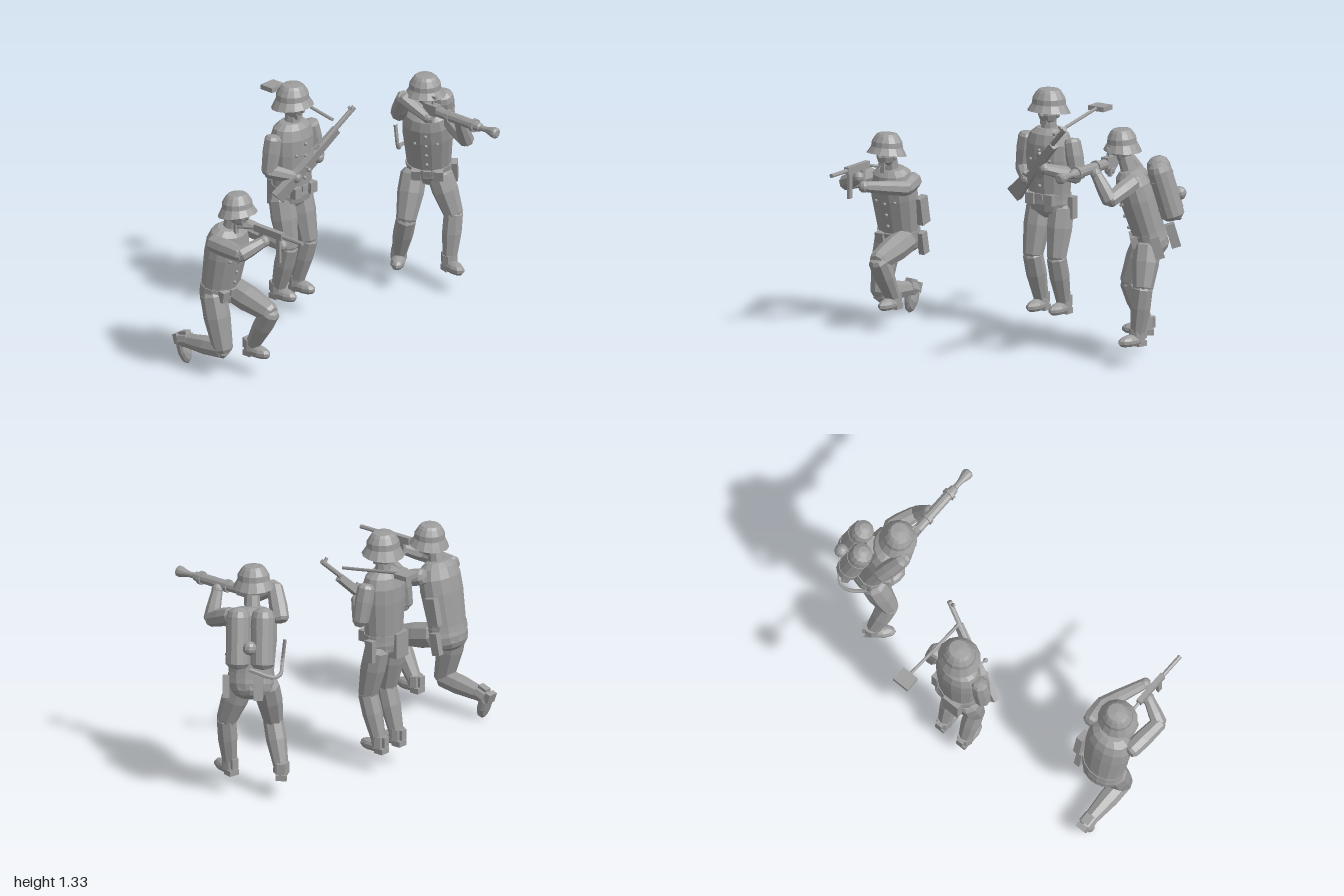
import * as THREE from 'three';

const grey = new THREE.MeshStandardMaterial({ color: 0x9c9c9c, flatShading: true });
grey.name = 'plain grey';
const V = (p) => new THREE.Vector3(...p);

function add(parent, name, geo, pos = [0, 0, 0], scale = [1, 1, 1]) {
  const m = new THREE.Mesh(geo, grey);
  m.name = name;
  m.position.set(...pos);
  m.scale.set(...scale);
  parent.add(m);
  return m;
}
const box = (p, n, size, pos) => add(p, n, new THREE.BoxGeometry(...size), pos);
const ball = (p, n, pos, scale) => add(p, n, new THREE.SphereGeometry(1, 10, 7), pos, scale);
const lathe = (pts, sides) => new THREE.LatheGeometry(pts.map((q) => new THREE.Vector2(...q)), sides);

// Turn a Y-axis mesh so that it runs from a to b
function along(mesh, a, b) {
  mesh.position.copy(V(a));
  mesh.quaternion.setFromUnitVectors(new THREE.Vector3(0, 1, 0), V(b).sub(V(a)).normalize());
  return mesh;
}
// Tapered limb piece with a swollen middle and domed ends
function segment(p, name, a, b, ra, rm, rb, sides = 8) {
  const L = V(a).distanceTo(V(b));
  return along(add(p, name, lathe([[0, -ra * 0.5], [ra * 0.75, -ra * 0.35], [ra, 0], [rm, L * 0.4],
    [rb, L], [rb * 0.75, L + rb * 0.35], [0, L + rb * 0.5]], sides)), a, b);
}
function rod(p, name, a, b, r, sides = 8) {
  const L = V(a).distanceTo(V(b));
  return along(add(p, name, lathe([[0, 0], [r, 0], [r, L], [0, L]], sides)), a, b);
}
// Frame whose +x is forward, +y up the body and +z the figure's right
function frame(p, name, origin, forward, up) {
  const g = new THREE.Group();
  g.name = name;
  const u = V(up).normalize(), r = V(forward).cross(u).normalize();
  g.quaternion.setFromRotationMatrix(new THREE.Matrix4().makeBasis(u.clone().cross(r), u, r));
  g.position.set(...origin);
  p.add(g);
  return g;
}

function head(p, pos, fwd, up, s) {
  const g = frame(p, 'head', pos, fwd, up);
  g.scale.setScalar(s);
  ball(g, 'face', [0.005, 0.005, 0], [0.066, 0.074, 0.054]);
  ball(g, 'nose', [0.073, -0.005, 0], [0.014, 0.016, 0.011]);
  box(g, 'chin', [0.035, 0.024, 0.04], [0.036, -0.05, 0]);
  for (const z of [-0.054, 0.054]) ball(g, 'ear', [-0.005, -0.008, z], [0.016, 0.022, 0.01]);
  // Steel helmet: the rim is lower over the neck and sides than over the brow
  const geo = lathe([[0.088, 0.014], [0.119, 0], [0.104, 0.026], [0.093, 0.045], [0.09, 0.076],
    [0.07, 0.108], [0.056, 0.122], [0, 0.128]], 14);
  const q = geo.attributes.position;
  for (let i = 0; i < q.count; i++) {
    const w = Math.max(0, 1 - q.getY(i) / 0.06);
    q.setY(i, q.getY(i) + w * q.getX(i) * 0.1);
    q.setX(i, q.getX(i) * 0.93);
  }
  add(g, 'helmet', geo);
  add(g, 'helmetLining', new THREE.CylinderGeometry(0.086, 0.086, 0.01, 14), [0, 0.02, 0]);
}

// Tunic, belt and kit; the origin sits at the belt
function torso(p, origin, fwd, up) {
  const g = frame(p, 'torso', origin, fwd, up);
  add(g, 'tunic', lathe([[0, -0.08], [0.112, -0.08], [0.122, -0.04], [0.118, 0], [0.126, 0.1], [0.134, 0.2],
    [0.132, 0.28], [0.112, 0.335], [0.075, 0.362], [0, 0.372]], 14), [0, 0, 0], [0.75, 1, 1]);
  ball(g, 'trouserSeat', [-0.005, -0.06, 0], [0.085, 0.07, 0.115]);
  add(g, 'belt', new THREE.CylinderGeometry(0.124, 0.124, 0.03, 14), [0, 0, 0], [0.76, 1, 1]);
  add(g, 'neck', new THREE.CylinderGeometry(0.036, 0.044, 0.1, 8), [0.005, 0.395, 0]);
  box(g, 'buckle', [0.012, 0.034, 0.04], [0.094, 0, 0]);
  for (let i = 0; i < 4; i++) ball(g, 'button', [0.094 + 0.002 * i, 0.06 + 0.065 * i, 0], [0.01, 0.01, 0.01]);
  for (const z of [-0.06, 0.06]) {
    box(g, 'beltPouch', [0.04, 0.06, 0.05], [0.085, -0.012, z]);
    ball(g, 'pocketButton', [0.09, 0.2, z], [0.009, 0.009, 0.009]);
  }
  box(g, 'holster', [0.05, 0.12, 0.035], [-0.02, -0.06, -0.132]);
  return g;
}

function arm(p, side, shoulder, elbow, hand) {
  const g = new THREE.Group();
  g.name = side + 'Arm';
  p.add(g);
  segment(g, 'upperArm', shoulder, elbow, 0.046, 0.049, 0.042);
  segment(g, 'forearm', elbow, hand, 0.042, 0.039, 0.029);
  ball(g, 'hand', hand, [0.032, 0.032, 0.03]);
}

function leg(p, side, hip, knee, ankle, fwd, up = [0, 1, 0]) {
  const g = new THREE.Group();
  g.name = side + 'Leg';
  p.add(g);
  segment(g, 'thigh', hip, knee, 0.07, 0.072, 0.054);
  segment(g, 'shin', knee, ankle, 0.054, 0.055, 0.038);
  const f = frame(g, 'boot', ankle, fwd, up);
  add(f, 'gaiter', new THREE.CylinderGeometry(0.042, 0.044, 0.06, 8), [0, 0.01, 0]);
  box(f, 'gaiterStrap', [0.022, 0.055, 0.04], [-0.04, 0.012, 0]);
  const shoe = ball(f, 'shoe', [0.042, -0.022, 0], [0.086, 0.036, 0.04]).geometry.attributes.position;
  for (let i = 0; i < shoe.count; i++) shoe.setY(i, Math.max(shoe.getY(i), -0.7));
  box(f, 'heel', [0.055, 0.03, 0.06], [-0.015, -0.04, 0]);
}

// Standing figure with a rifle held across the chest and a spade on the back
function standing(root) {
  const g = new THREE.Group(), F = [1, 0, 0], U = [0, 1, 0];
  g.name = 'standingSoldier';
  const t = torso(g, [-0.285, 0.75, 0], F, U);
  box(t, 'breadBag', [0.06, 0.14, 0.1], [-0.075, -0.05, 0.03]);
  head(g, [-0.28, 1.198, 0], F, U, 1);
  for (const [n, s] of [['right', 1], ['left', -1]])
    leg(g, n, [-0.295, 0.68, 0.07 * s], [-0.24, 0.42, 0.076 * s], [-0.315, 0.158, 0.072 * s], F);
  arm(g, 'right', [-0.285, 1.05, 0.145], [-0.29, 0.87, 0.172], [-0.18, 0.84, 0.08]);
  arm(g, 'left', [-0.285, 1.05, -0.145], [-0.28, 0.87, -0.185], [-0.15, 0.92, -0.06]);

  const r = frame(g, 'rifle', [-0.22, 0.745, 0.185], [0.15, 0.405, -0.45], [0.1, 1, 1]);
  const s = new THREE.Shape([[0, -0.05], [0.2, -0.03], [0.48, -0.022], [0.48, 0.016], [0.2, 0.02], [0, 0.036]]
    .map((q) => new THREE.Vector2(...q)));
  add(r, 'stock', new THREE.ExtrudeGeometry(s, { depth: 0.038, bevelEnabled: false }), [0, 0, -0.019]);
  rod(r, 'barrel', [0.3, 0.008, 0], [0.63, 0.008, 0], 0.014);
  box(r, 'frontSight', [0.014, 0.03, 0.014], [0.61, 0.026, 0]);
  box(r, 'rearSight', [0.03, 0.02, 0.016], [0.34, 0.027, 0]);
  box(r, 'magazine', [0.05, 0.04, 0.024], [0.26, -0.04, 0]);
  rod(r, 'boltHandle', [0.22, 0.01, 0], [0.22, 0.01, 0.045], 0.006);
  ball(r, 'boltKnob', [0.22, 0.01, 0.05], [0.013, 0.013, 0.013]);

  rod(g, 'spadeHandle', [-0.53, 1.19, -0.14], [-0.12, 1.12, -0.14], 0.009);
  box(g, 'spadeBlade', [0.085, 0.026, 0.098], [-0.555, 1.186, -0.14]);
  root.add(g);
}

// Kneeling figure aiming a submachine gun
function kneeling(root) {
  const g = new THREE.Group(), F = [1, 0, 0], U = [0.2, 1, 0];
  g.name = 'kneelingSoldier';
  const t = torso(g, [-0.05, 0.49, 0.805], F, U);
  box(t, 'satchel', [0.07, 0.15, 0.04], [-0.04, 0.12, -0.138]);
  head(g, [0.072, 0.927, 0.8], F, [-0.06, 1, 0], 0.93);
  leg(g, 'right', [-0.04, 0.45, 0.87], [0.03, 0.16, 0.87], [-0.25, 0.128, 0.865], [0.35, -1, 0], [1, 0.35, 0]);
  leg(g, 'left', [-0.01, 0.45, 0.74], [0.245, 0.388, 0.735], [0.11, 0.158, 0.73], F);
  arm(g, 'right', [0.02, 0.785, 0.935], [0.235, 0.785, 0.95], [0.29, 0.84, 0.83]);
  arm(g, 'left', [0.01, 0.795, 0.668], [0.12, 0.77, 0.648], [0.35, 0.81, 0.755]);

  const w = new THREE.Group();
  w.name = 'submachineGun';
  w.position.set(0, 0.9, 0.82);
  box(w, 'receiver', [0.2, 0.038, 0.03], [0.32, 0, 0]);
  rod(w, 'barrel', [0.4, 0, 0], [0.56, 0, 0], 0.012);
  box(w, 'magazine', [0.028, 0.14, 0.016], [0.388, -0.085, 0]);
  box(w, 'grip', [0.026, 0.07, 0.022], [0.27, -0.05, 0]);
  rod(w, 'stockStrut', [0.08, -0.04, 0], [0.23, -0.005, 0], 0.008);
  box(w, 'stockPlate', [0.015, 0.06, 0.025], [0.08, -0.045, 0]);
  g.add(w);
  root.add(g);
}

// Crouching figure with twin tanks and a projector
function tankBearer(root) {
  const g = new THREE.Group(), F = [0.6, 0, 0.8], U = [0.18, 1, 0.24];
  g.name = 'tankSoldier';
  const t = torso(g, [-0.045, 0.69, -0.805], F, U);
  head(g, [0.035, 1.14, -0.69], F, [0.05, 1, 0.05], 0.93);
  leg(g, 'right', [-0.1, 0.63, -0.745], [-0.075, 0.4, -0.66], [-0.165, 0.158, -0.7], [0.6, 0, 0.8]);
  leg(g, 'left', [0.01, 0.63, -0.83], [0.085, 0.42, -0.855], [0.09, 0.158, -0.82], [1, 0, 0.25]);
  arm(g, 'right', [-0.13, 0.99, -0.665], [-0.035, 1.13, -0.6], [0.09, 1.04, -0.645]);
  arm(g, 'left', [0.1, 0.99, -0.8], [0.265, 0.92, -0.765], [0.285, 1.06, -0.69]);

  // Pressure tanks with bands
  for (const z of [-0.066, 0.066]) {
    add(t, 'tank', lathe([[0, -0.01], [0.045, 0], [0.063, 0.02], [0.063, 0.27], [0.054, 0.3],
      [0.03, 0.318], [0, 0.322]], 12), [-0.15, 0.05, z]);
    for (const y of [0.12, 0.27])
      add(t, 'tankBand', new THREE.CylinderGeometry(0.066, 0.066, 0.012, 12), [-0.15, y, z]);
  }
  ball(t, 'valveBall', [-0.215, 0.16, 0], [0.038, 0.038, 0.038]);
  box(t, 'tankFrame', [0.05, 0.26, 0.1], [-0.1, 0.19, 0]);
  const hose = new THREE.CatmullRomCurve3([[-0.14, 0.78, -0.93], [-0.24, 0.74, -0.86], [-0.24, 0.74, -0.8],
    [-0.18, 0.77, -0.71], [-0.19, 0.9, -0.7]].map(V));
  add(g, 'hose', new THREE.TubeGeometry(hose, 16, 0.011, 6));
  box(t, 'bottle', [0.05, 0.13, 0.05], [-0.115, -0.06, 0.045]);

  // Projector: turned profile laid along x
  const w = new THREE.Group();
  w.name = 'projector';
  const body = add(w, 'projectorBody', lathe([[0, 0.1], [0.02, 0.1], [0.02, 0.16], [0.027, 0.16], [0.027, 0.23],
    [0.036, 0.23], [0.036, 0.25], [0.028, 0.25], [0.028, 0.41], [0.037, 0.41], [0.037, 0.43], [0.028, 0.43],
    [0.025, 0.46], [0.016, 0.47], [0.016, 0.51], [0.03, 0.56], [0.03, 0.578], [0.018, 0.587], [0, 0.587]], 10));
  body.rotation.z = -Math.PI / 2;
  box(w, 'rearBlock', [0.09, 0.06, 0.045], [0.115, 0.005, 0]);
  box(w, 'sight', [0.05, 0.014, 0.014], [0.12, 0.075, 0]);
  box(w, 'sightPost', [0.012, 0.05, 0.012], [0.12, 0.05, 0]);
  box(w, 'trigger', [0.02, 0.06, 0.02], [0.11, -0.045, 0]);
  w.position.set(0, 1.083, -0.66);
  g.add(w);
  root.add(g);
}

export function createModel() {
  const root = new THREE.Group();
  root.name = 'threeSoldiers';
  standing(root);
  kneeling(root);
  tankBearer(root);
  return root;
}
